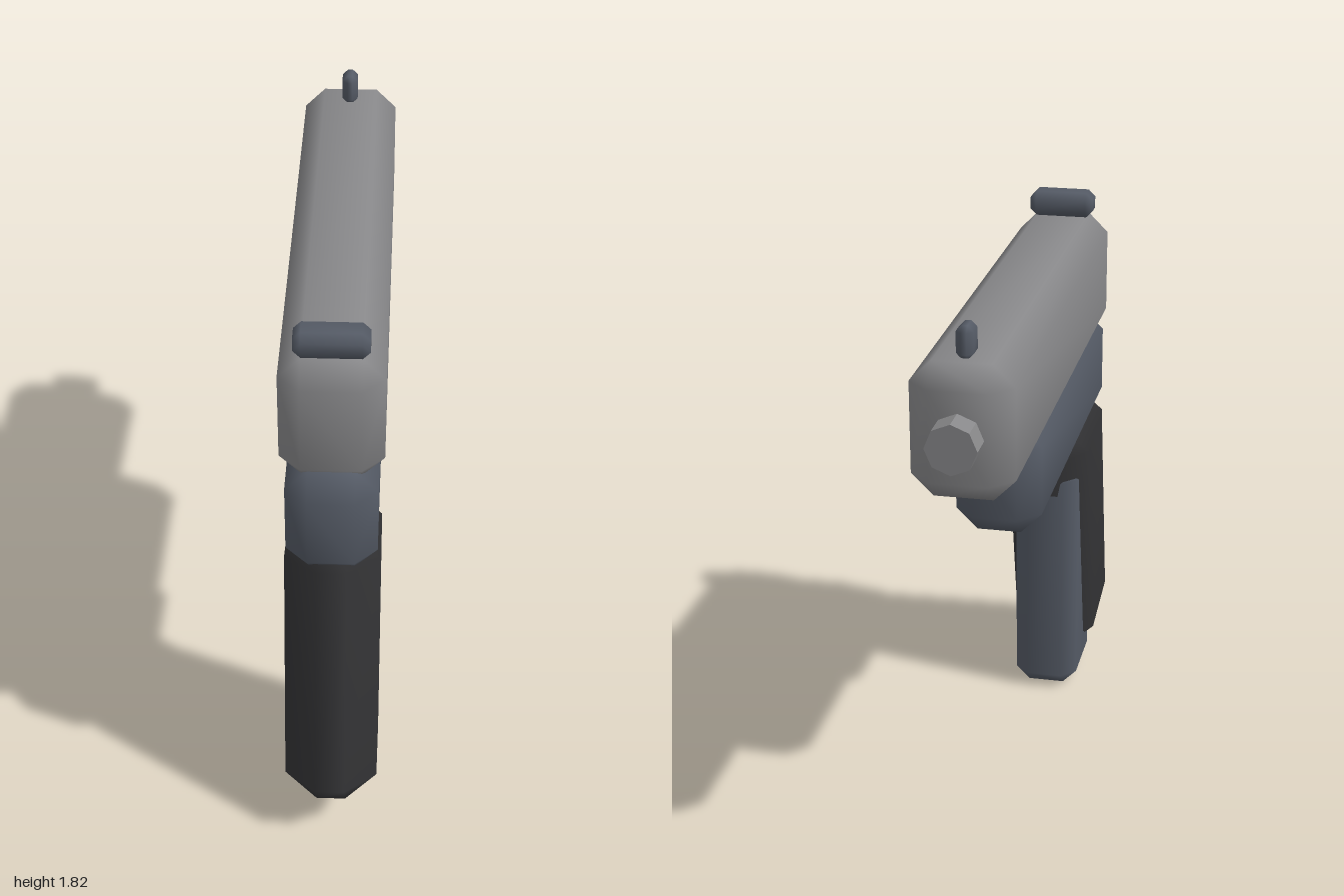
import * as THREE from 'three';
import { mergeVertices } from 'three/addons/utils/BufferGeometryUtils.js';
import { ConvexGeometry } from 'three/addons/geometries/ConvexGeometry.js';

const steel = new THREE.MeshStandardMaterial({ color: 0x88888a });
const gunmetal = new THREE.MeshStandardMaterial({ color: 0x555b66 });
const rubber = new THREE.MeshStandardMaterial({ color: 0x343436 });

// Box with a single-step chamfer on every edge and smooth shading
function chamferBox(w, h, d, c) {
  const points = [];
  for (const x of [-w / 2, w / 2])
    for (const y of [-h / 2, h / 2])
      for (const z of [-d / 2, d / 2]) {
        const ix = x - Math.sign(x) * c, iy = y - Math.sign(y) * c, iz = z - Math.sign(z) * c;
        points.push(
          new THREE.Vector3(x, iy, iz),
          new THREE.Vector3(ix, y, iz),
          new THREE.Vector3(ix, iy, z)
        );
      }
  let geometry = new ConvexGeometry(points);
  geometry.deleteAttribute('normal');
  geometry = mergeVertices(geometry, 1e-4);
  geometry.computeVertexNormals();
  return geometry;
}

// Chamfered part given by half width and its y and z ranges
function part(name, material, halfWidth, [y0, y1], [z0, z1], chamfer) {
  const mesh = new THREE.Mesh(chamferBox(halfWidth * 2, y1 - y0, z1 - z0, chamfer), material);
  mesh.position.set(0, (y0 + y1) / 2, (z0 + z1) / 2);
  mesh.name = name;
  return mesh;
}

export function createModel() {
  const model = new THREE.Group();
  model.name = 'pistol';

  model.add(
    part('slide', steel, 0.155, [1.312, 1.725], [-0.915, 0.815], 0.066),
    part('frame', gunmetal, 0.138, [0.992, 1.352], [-0.438, 0.858], 0.068),
    part('magazine', gunmetal, 0.113, [0, 0.876], [0.402, 0.745], 0.05),
    part('triggerGuard', gunmetal, 0.085, [0.92, 1.02], [0.134, 0.6], 0.03),
    part('rearSight', gunmetal, 0.11, [1.724, 1.81], [0.665, 0.767], 0.023),
    part('frontSight', gunmetal, 0.026, [1.72, 1.82], [-0.828, -0.742], 0.018)
  );

  // Raked grip, its foot swept backwards
  const grip = new THREE.Mesh(chamferBox(0.292, 0.998, 0.482, 0.1), rubber);
  grip.name = 'grip';
  grip.position.set(0, 0.569, 0.69);
  grip.rotation.x = -0.2;
  model.add(grip);

  // Eight-sided muzzle
  const barrelMaterial = steel.clone();
  barrelMaterial.flatShading = true;
  const barrel = new THREE.Mesh(new THREE.CylinderGeometry(0.077, 0.077, 0.3, 8), barrelMaterial);
  barrel.name = 'barrel';
  barrel.rotation.x = -Math.PI / 2;
  barrel.position.set(0, 1.52, -0.85);
  model.add(barrel);

  return model;
}
